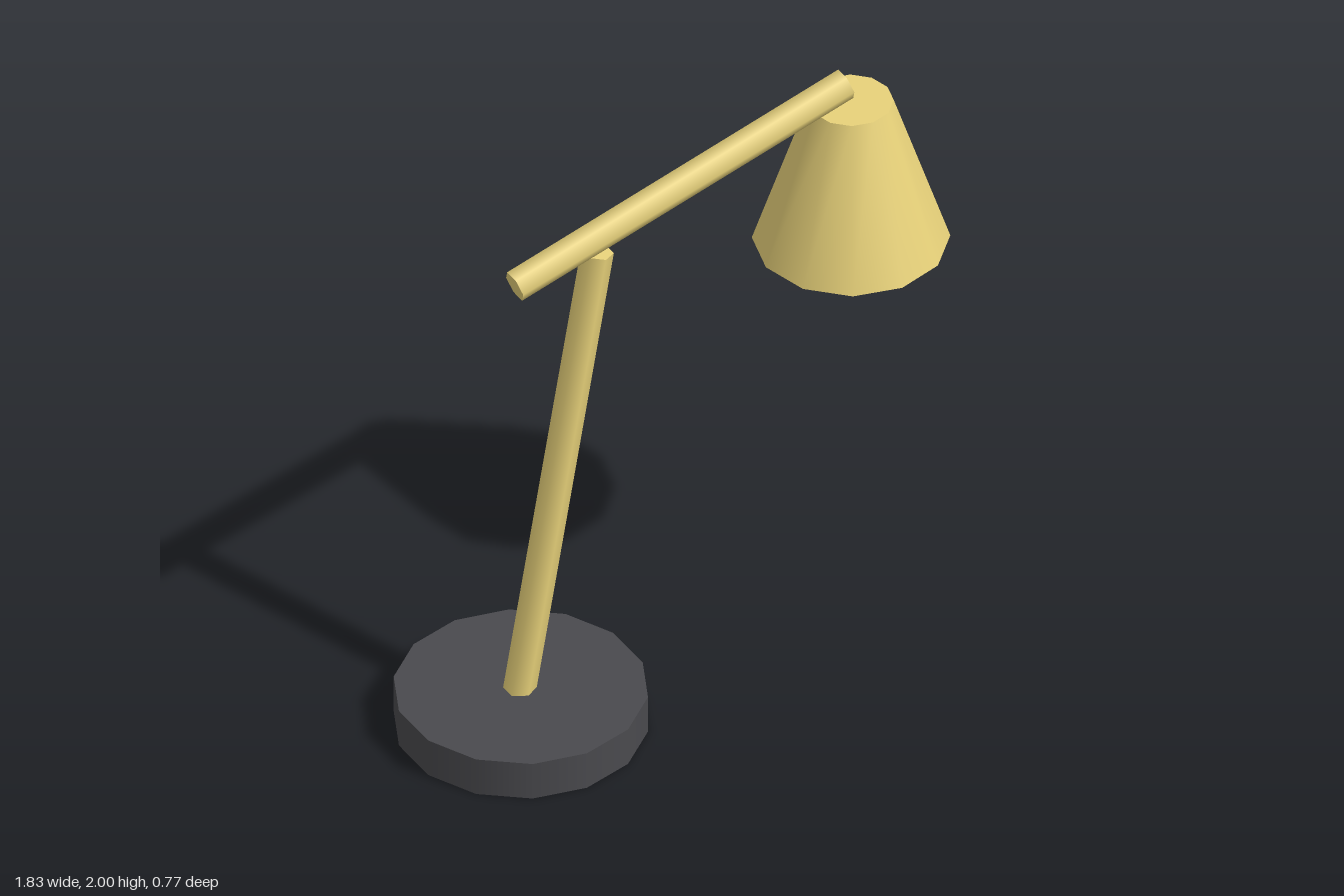
import * as THREE from 'three';

export function createModel() {
  const model = new THREE.Group();
  const brass = new THREE.MeshStandardMaterial({ color: 0xe8d27a });
  const dark = new THREE.MeshStandardMaterial({ color: 0x4a4a4e });
  const glow = new THREE.MeshStandardMaterial({ color: 0xfff4e0 });

  // Upright or tilted (about z) tapered cylinder, centred at x, y
  function cylinder(name, material, rTop, rBottom, height, sides, x, y, tiltDeg = 0) {
    const mesh = new THREE.Mesh(new THREE.CylinderGeometry(rTop, rBottom, height, sides), material);
    mesh.name = name;
    mesh.position.set(x, y, 0);
    mesh.rotation.z = THREE.MathUtils.degToRad(tiltDeg);
    model.add(mesh);
  }

  // Heavy round foot
  cylinder('base', dark, 0.385, 0.385, 0.13, 14, -0.543, 0.065);

  // Two hexagonal rods: leaning post and raised boom
  cylinder('lowerArm', brass, 0.05, 0.05, 1.6, 6, -0.414, 0.879, -10);
  cylinder('upperArm', brass, 0.05, 0.05, 1.2, 6, 0.015, 1.803, -75);

  // Closed conical shade with the light disc protruding below
  cylinder('shade', brass, 0.128, 0.298, 0.513, 12, 0.613, 1.632);
  cylinder('lightDisc', glow, 0.256, 0.256, 0.043, 12, 0.613, 1.376);

  return model;
}
